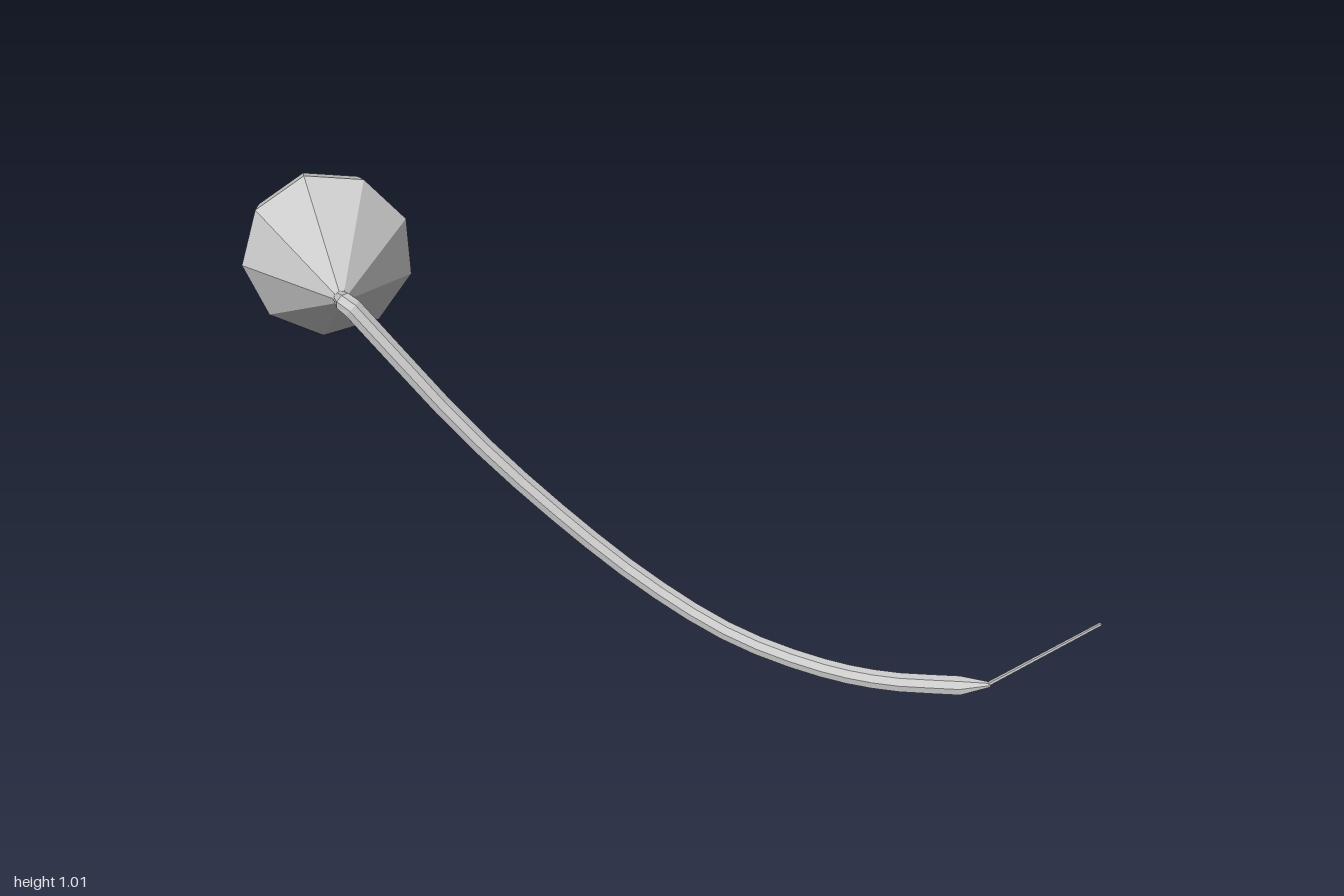
import * as THREE from 'three';

const material = new THREE.MeshStandardMaterial({ color: 0xcccccc, flatShading: true });

// Sweeps a polygon along stations [x, y, z, radius] and closes both ends
function sweep(name, stations, sides) {
  const pts = stations.map(s => new THREE.Vector3(s[0], s[1], s[2]));
  const last = pts.length - 1;
  const normal = new THREE.Vector3(0.3, 1, -0.2);
  const pos = [], index = [];
  pts.forEach((p, i) => {
    const before = p.clone().sub(pts[Math.max(i - 1, 0)]).normalize();
    const after = pts[Math.min(i + 1, last)].clone().sub(p).normalize();
    const t = before.add(after).normalize();
    normal.addScaledVector(t, -normal.dot(t)).normalize();
    const side = t.clone().cross(normal);
    for (let j = 0; j < sides; j++) {
      const a = (j / sides) * Math.PI * 2, r = stations[i][3];
      const v = p.clone().addScaledVector(normal, r * Math.cos(a)).addScaledVector(side, r * Math.sin(a));
      pos.push(v.x, v.y, v.z);
    }
  });
  for (let i = 0; i < last; i++) {
    for (let j = 0; j < sides; j++) {
      const a = i * sides + j, b = i * sides + (j + 1) % sides;
      index.push(a, b, a + sides, b, b + sides, a + sides);
    }
  }
  for (let j = 1; j < sides - 1; j++) {
    const e = last * sides;
    index.push(0, j + 1, j, e, e + j, e + j + 1);
  }
  const geo = new THREE.BufferGeometry();
  geo.setAttribute('position', new THREE.Float32BufferAttribute(pos, 3));
  geo.setIndex(index);
  geo.computeVertexNormals();
  const mesh = new THREE.Mesh(geo, material);
  mesh.name = name;
  return mesh;
}

// Nine-sided bulb: a long cone from the neck, closed by a half-sphere
function makeBulb() {
  const R = 0.195;
  const profile = [new THREE.Vector2(0, -0.31), new THREE.Vector2(0.016, -0.31), new THREE.Vector2(0.018, -0.285)];
  for (let i = 0; i <= 4; i++) {
    const a = (i / 4) * Math.PI / 2;
    profile.push(new THREE.Vector2(i === 4 ? 0 : R * Math.cos(a), R * Math.sin(a)));
  }
  const bulb = new THREE.Mesh(new THREE.LatheGeometry(profile, 9), material);
  const axis = new THREE.Vector3(-0.53, -0.12, -0.84).normalize();
  const z = new THREE.Vector3(-0.04, 0.19, 0);
  z.addScaledVector(axis, -z.dot(axis)).normalize();
  const x = axis.clone().cross(z);
  bulb.quaternion.setFromRotationMatrix(new THREE.Matrix4().makeBasis(x, axis, z));
  bulb.position.set(-0.82, 0.822, -0.056);
  bulb.name = 'bulb';
  return bulb;
}

export function createModel() {
  const group = new THREE.Group();
  group.name = 'bulbOnCurvedStem';
  group.add(makeBulb());

  // Curved stem: elbow at the bulb, a long sag, then a tapered tip
  const curve = new THREE.CatmullRomCurve3([
    [-0.625, 0.855, 0.219], [-0.4, 0.565, 0.175], [-0.2, 0.355, 0.138], [0, 0.19, 0.113],
    [0.2, 0.083, 0.105], [0.4, 0.034, 0.1], [0.55, 0.028, 0.097], [0.72, 0.05, 0.09],
  ].map(p => new THREE.Vector3(...p)));
  const body = curve.getPoints(18).map(p => [p.x, p.y, p.z, 0.023]);
  group.add(sweep('stem', [
    [-0.662, 0.86, 0.195, 0.017], [-0.643, 0.866, 0.217, 0.022],
    ...body, [0.785, 0.064, 0.084, 0.006],
  ], 8));

  // Thin straight wire leaving the tip
  group.add(sweep('wire', [[0.775, 0.06, 0.085, 0.005], [0.997, 0.281, 0.081, 0.004]], 5));
  return group;
}
